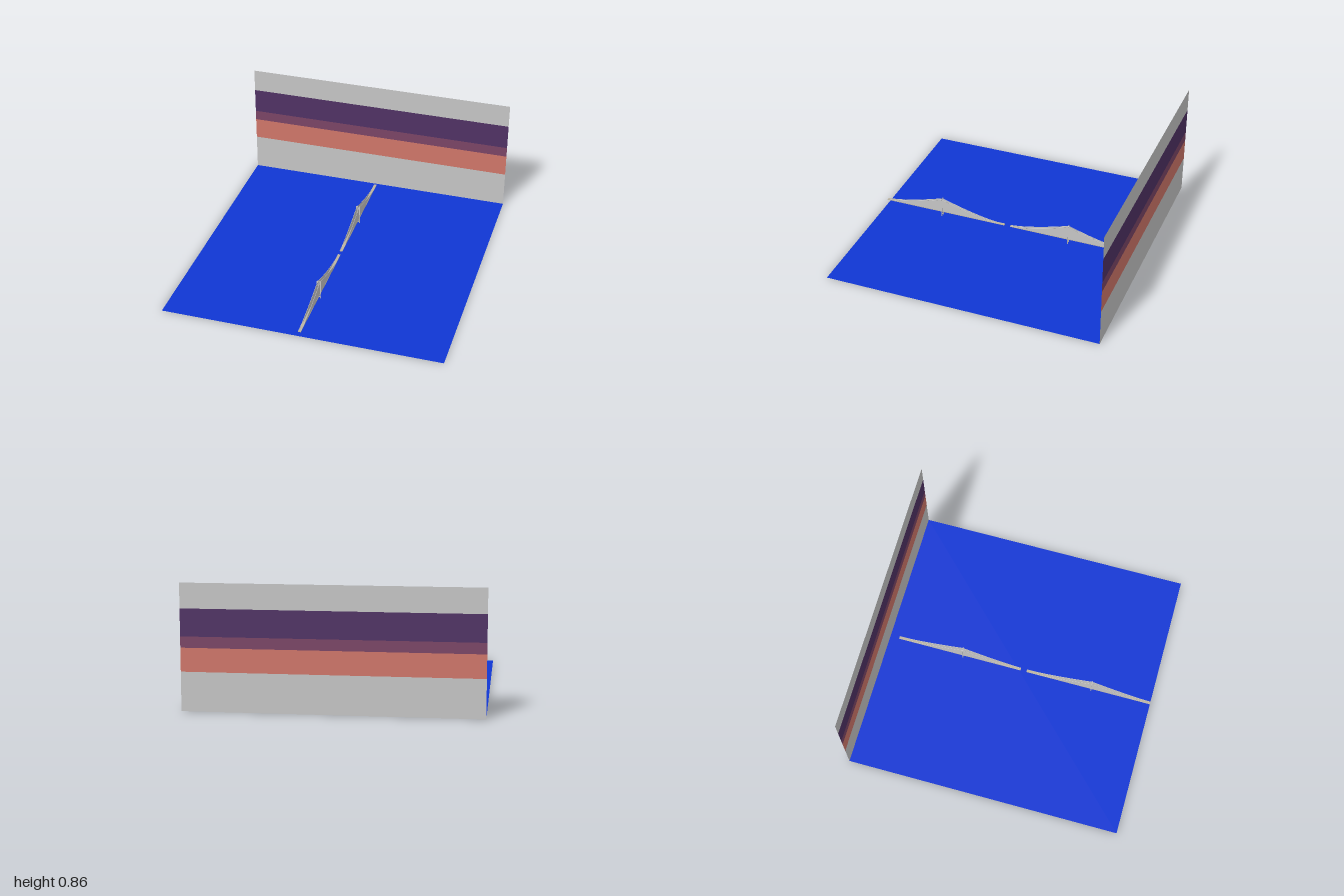
import * as THREE from 'three';

const mat = (name, color) => {
  const m = new THREE.MeshStandardMaterial({ color, side: THREE.DoubleSide });
  m.name = name;
  return m;
};

export function createModel() {
  const grey = mat('paleGrey', 0xc6c6c6);
  const blue = mat('waterBlue', 0x1036d4);
  const orange = mat('duskOrange', 0xd0776a);
  const plum = mat('plum', 0x7b4566);
  const purple = mat('deepPurple', 0x503265);
  const tan = mat('deckTan', 0xbcb4a2);

  const model = new THREE.Group();
  const add = (parent, name, geometry, material, x = 0, y = 0, z = 0) => {
    const mesh = new THREE.Mesh(geometry, material);
    mesh.name = name;
    mesh.position.set(x, y, z);
    parent.add(mesh);
    return mesh;
  };

  // Flat water sheet
  add(model, 'water', new THREE.PlaneGeometry(2, 2).rotateX(-Math.PI / 2), blue);

  // Upright sky sheet at the back, split into horizontal bands
  const sky = new THREE.Group();
  sky.name = 'skyBackdrop';
  model.add(sky);
  const bands = [
    ['lowerSky', 0, 0.265, grey],
    ['orangeBand', 0.265, 0.425, orange],
    ['plumBand', 0.425, 0.5, plum],
    ['purpleBand', 0.5, 0.685, purple],
    ['upperSky', 0.685, 0.855, grey],
  ];
  for (const [name, y0, y1, m] of bands) {
    add(sky, name, new THREE.PlaneGeometry(2, y1 - y0), m, 0, (y0 + y1) / 2, -1);
  }

  // Bridge section: tower at local z = 0, cables reaching `reach` either way
  const deckY = 0.038, topY = 0.142, reach = 0.445, side = 0.009;
  const cableY = (z) => deckY + (topY - deckY) * Math.pow(1 - Math.abs(z) / reach, 1.4);

  function bridgeSection(name, z) {
    const g = new THREE.Group();
    g.name = name;
    g.position.z = z;
    model.add(g);

    add(g, 'deck', new THREE.BoxGeometry(0.02, 0.005, 0.94), tan, 0, deckY, -0.025);

    // Curtain of hangers under the cable
    const outline = [];
    for (let i = -16; i <= 16; i++) {
      const s = (i / 16) * reach;
      outline.push(new THREE.Vector2(-s, cableY(s)));
    }
    const curtain = new THREE.ShapeGeometry(new THREE.Shape(outline)).rotateY(Math.PI / 2);

    for (const s of [-1, 1]) {
      add(g, 'hangers', curtain, grey, s * side, 0, 0);

      // Main cable, in two halves meeting at the tower top
      for (const d of [-1, 1]) {
        const pts = [];
        for (let i = 0; i <= 8; i++) {
          const cz = d * reach * i / 8;
          pts.push(new THREE.Vector3(s * side, cableY(cz), cz));
        }
        add(g, 'cable', new THREE.TubeGeometry(new THREE.CatmullRomCurve3(pts), 24, 0.0015, 6), grey);
      }

      // Tower leg
      add(g, 'towerLeg', new THREE.BoxGeometry(0.005, 0.148, 0.005), grey, s * 0.0125, 0.074, 0);
    }

    // Tower cross beams and diagonal bracing
    for (let i = 0; i < 6; i++) {
      const y = 0.012 + i * 0.026;
      add(g, 'crossBeam', new THREE.BoxGeometry(0.024, 0.003, 0.004), grey, 0, y, 0);
      if (i < 5) {
        for (const s of [-1, 1]) {
          const brace = add(g, 'brace', new THREE.BoxGeometry(0.0015, 0.034, 0.002), grey, 0, y + 0.013, 0);
          brace.rotation.z = s * 0.75;
        }
      }
    }
  }

  bridgeSection('nearBridge', 0.555);
  bridgeSection('farBridge', -0.43);

  return model;
}
